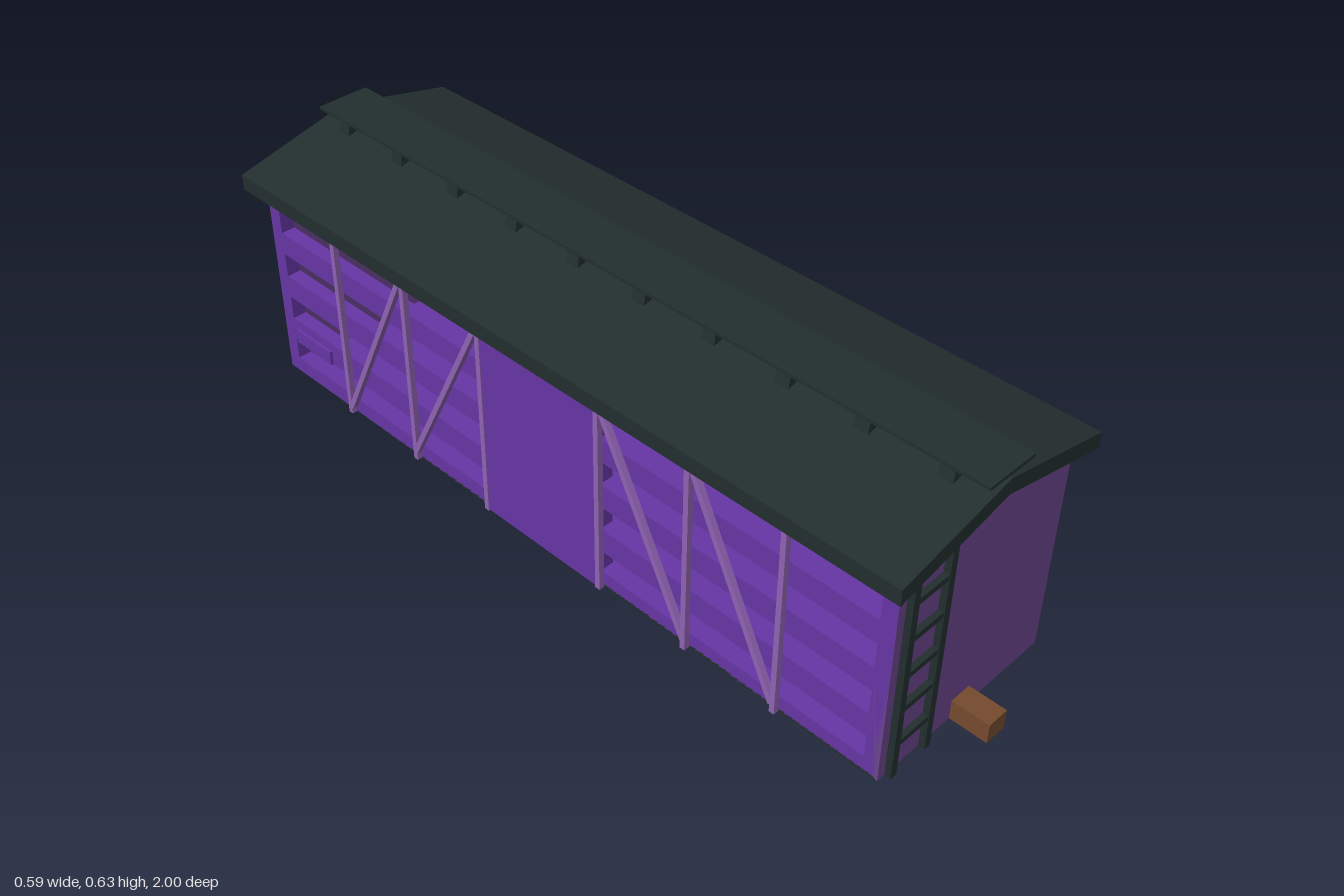
import * as THREE from 'three';

const mat = (name, color) => {
  const m = new THREE.MeshStandardMaterial({ color });
  m.name = name;
  return m;
};

export function createModel() {
  const purple = mat('purple boards', 0x6636a5);
  const endPurple = mat('muted purple ends', 0x6b458e);
  const lilac = mat('lilac bracing', 0x8f64b4);
  const dark = mat('dark slate', 0x232f2f);
  const brown = mat('brown', 0x764b2e);

  const model = new THREE.Group();
  model.name = 'slattedWagon';

  const add = (parent, name, geo, material) => {
    const m = new THREE.Mesh(geo, material);
    m.name = name;
    parent.add(m);
    return m;
  };
  // Box given by its minimum and maximum corners
  const box = (parent, name, material, x0, x1, y0, y1, z0, z1) => {
    const m = add(parent, name, new THREE.BoxGeometry(x1 - x0, y1 - y0, z1 - z0), material);
    m.position.set((x0 + x1) / 2, (y0 + y1) / 2, (z0 + z1) / 2);
    return m;
  };
  const polygon = (pts) => new THREE.Shape(pts.map(([x, y]) => new THREE.Vector2(x, y)));
  const extrude = (shape, depth) =>
    new THREE.ExtrudeGeometry(shape, { depth, bevelEnabled: false });
  const rect = (x0, x1, y0, y1) => [[x0, y0], [x1, y0], [x1, y1], [x0, y1]];

  // Brace running between two points in the plane of the side wall
  const brace = (parent, name, z0, y0, z1, y1) => {
    const dz = z1 - z0, dy = y1 - y0;
    const m = add(parent, name, new THREE.BoxGeometry(0.014, Math.hypot(dz, dy), 0.013), lilac);
    m.position.set(0.26, (y0 + y1) / 2, (z0 + z1) / 2);
    m.rotation.x = Math.atan2(dz, dy);
  };

  const W = 0.253, L = 0.91;

  // One side and one end; the second copy is turned half way round
  const buildHalf = (name) => {
    const half = new THREE.Group();
    half.name = name;
    model.add(half);

    // Slatted side wall with openings between the boards and a doorway
    const wall = polygon(rect(-L, L, 0, 0.505));
    for (const [y0, y1] of [[0.04, 0.097], [0.157, 0.218], [0.277, 0.338], [0.396, 0.46]])
      for (const s of [-1, 1])
        wall.holes.push(polygon(rect(Math.min(s * 0.172, s * 0.875), Math.max(s * 0.172, s * 0.875), y0, y1)));
    wall.holes.push(polygon(rect(-0.14, 0.14, 0.04, 0.492)));
    const wallGeo = extrude(wall, 0.035);
    wallGeo.rotateY(-Math.PI / 2);
    add(half, 'slattedSide', wallGeo, purple).position.x = W;

    // Sliding door and small label plate
    box(half, 'door', purple, W, 0.264, 0.002, 0.478, -0.17, 0.17);
    box(half, 'sidePlate', purple, W, 0.26, 0.098, 0.134, 0.73, 0.86);

    // Uprights and diagonals
    for (const s of [-1, 1]) {
      for (const z of [0.175, 0.42, 0.66]) brace(half, 'upright', s * z, 0, s * z, 0.503);
      brace(half, 'diagonal', s * 0.42, 0.02, s * 0.18, 0.49);
      brace(half, 'diagonal', s * 0.655, 0.02, s * 0.425, 0.49);
    }

    // Gabled end wall
    const gable = polygon([[-W, 0], [W, 0], [W, 0.508], [0, 0.555], [-W, 0.508]]);
    add(half, 'endWall', extrude(gable, 0.03), endPurple).position.z = L - 0.029;

    // Ladder
    const ladder = new THREE.Group();
    ladder.name = 'ladder';
    half.add(ladder);
    box(ladder, 'ladderRail', dark, -0.232, -0.215, 0, 0.513, L, 0.926);
    box(ladder, 'ladderRail', dark, -0.13, -0.113, 0, 0.52, L, 0.926);
    for (const y of [0.085, 0.176, 0.264, 0.356, 0.447])
      box(ladder, 'ladderRung', dark, -0.217, -0.128, y - 0.007, y + 0.007, L, 0.924);
    return half;
  };
  buildHalf('rightFacingHalf');
  buildHalf('leftFacingHalf').rotation.y = Math.PI;

  // Floor: dark underside with boards on top
  box(model, 'underside', dark, -W, W, -0.001, 0.012, -L, L);
  box(model, 'floorBoards', purple, -0.22, 0.22, 0.012, 0.018, -0.88, 0.88);

  // Couplers
  box(model, 'frontCoupler', brown, -0.033, 0.022, 0, 0.049, L, 1);
  box(model, 'backCoupler', brown, -0.033, 0.022, 0, 0.049, -1, -L);

  // Pitched roof
  const roof = polygon([[-0.295, 0.503], [0, 0.57], [0.295, 0.503], [0.295, 0.541], [0, 0.608], [-0.295, 0.541]]);
  add(model, 'roof', extrude(roof, 1.88), dark).position.z = -0.94;

  // Roof walkway on tapered supports
  box(model, 'walkway', dark, -0.066, 0.066, 0.618, 0.626, -0.94, 0.94);
  const support = polygon([[-0.07, 0.59], [0.07, 0.59], [0.066, 0.618], [-0.066, 0.618]]);
  for (let i = 0; i < 10; i++)
    add(model, 'walkwaySupport', extrude(support, 0.034), dark).position.z = -0.85 + i * 0.1889 - 0.017;

  return model;
}
